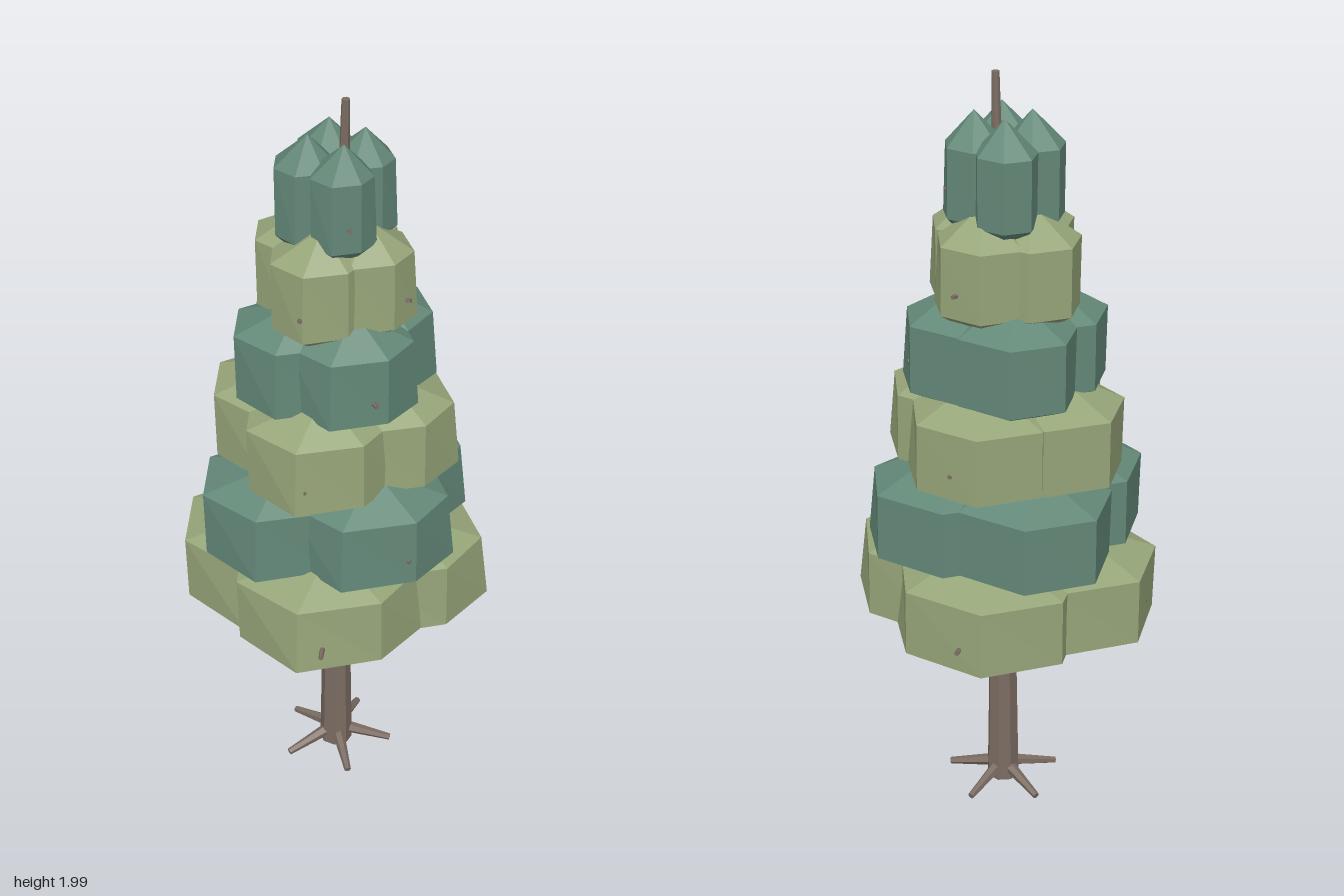
import * as THREE from 'three';

const mat = (color) => new THREE.MeshStandardMaterial({ color, flatShading: true });

// Tapered stick between two points
function stick(name, a, b, ra, rb, sides, material) {
  const dir = b.clone().sub(a);
  const mesh = new THREE.Mesh(new THREE.CylinderGeometry(rb, ra, dir.length(), sides), material);
  mesh.name = name;
  mesh.position.copy(a).add(b).multiplyScalar(0.5);
  mesh.quaternion.setFromUnitVectors(new THREE.Vector3(0, 1, 0), dir.normalize());
  return mesh;
}

const polar = (angle, r, y) => new THREE.Vector3(Math.cos(angle) * r, y, Math.sin(angle) * r);

// Uneven seven-sided outlines of a leaf clump [x, z]: upper and lower ring
const UPPER = [[0.95, 0], [0.65, -0.72], [-0.26, -0.93], [-1, -0.42], [-0.97, 0.38], [-0.26, 0.86], [0.61, 0.59]];
const LOWER = [[1.04, 0], [0.66, -0.72], [-0.26, -0.95], [-1, -0.42], [-0.95, 0.39], [-0.27, 0.93], [0.62, 0.62]];

// Leaf clump: drum between the two rings with a pointed top and bottom
function clumpGeometry() {
  const geo = new THREE.SphereGeometry(1, 7, 3);
  const p = geo.attributes.position;
  const tip = Array(7).fill([0.03, 0.08]);
  const base = Array(7).fill([0, 0]);
  [tip, UPPER, LOWER, base].forEach((ring, row) => {
    for (let c = 0; c <= 7; c++) {
      const [x, z] = ring[c % 7];
      p.setXYZ(row * 8 + c, x, [1, 0.52, -0.52, -1][row], z);
    }
  });
  geo.computeVertexNormals();
  return geo;
}

export function createModel() {
  const tree = new THREE.Group();
  tree.name = 'tree';
  const bark = mat(0x7b6c62);
  const greens = [mat(0x96a579), mat(0x638878)];

  // Trunk, leaning slightly towards the tip
  const trunkGeo = new THREE.CylinderGeometry(0.01, 0.044, 1.99, 8, 6).translate(0, 1.005, 0);
  const p = trunkGeo.attributes.position;
  for (let i = 0; i < p.count; i++) {
    const t = (p.getY(i) / 2) ** 2;
    p.setX(i, p.getX(i) + 0.025 * t);
    p.setZ(i, p.getZ(i) + 0.017 * t);
  }
  trunkGeo.computeVertexNormals();
  const trunk = new THREE.Mesh(trunkGeo, bark);
  trunk.name = 'trunk';
  tree.add(trunk);

  // Five roots
  for (let i = 0; i < 5; i++) {
    const a = (i / 5) * Math.PI * 2;
    tree.add(stick('root', polar(a, 0.02, 0.046), polar(a, 0.15, 0.014), 0.017, 0.009, 6, bark));
  }

  // Tiers: [clump distance from the trunk, clump radius, branch reach]
  const clumpGeo = clumpGeometry();
  const tiers = [
    [0.156, 0.236, 0.387],
    [0.155, 0.205, 0.328],
    [0.124, 0.185, 0.287],
    [0.1, 0.156, 0.242],
    [0.083, 0.119, 0.2],
    [0.07, 0.077, 0.142],
  ];
  tiers.forEach(([dist, radius, reach], i) => {
    const tier = new THREE.Group();
    tier.name = 'tier' + (i + 1);
    const y = 0.65 + i * 0.218;
    for (let k = 0; k < 4; k++) {
      const a = THREE.MathUtils.degToRad(50 * i + 90 * k);
      const clump = new THREE.Mesh(clumpGeo, greens[i % 2]);
      clump.name = 'leafClump';
      clump.position.copy(polar(a, dist, y));
      clump.scale.set(radius, 0.172, radius);
      tier.add(clump);
      // Branch poking through the clump
      tier.add(stick('branch', polar(a, 0, y - 0.05), polar(a, reach, y - 0.025), 0.014, 0.006, 5, bark));
    }
    tree.add(tier);
  });
  return tree;
}
